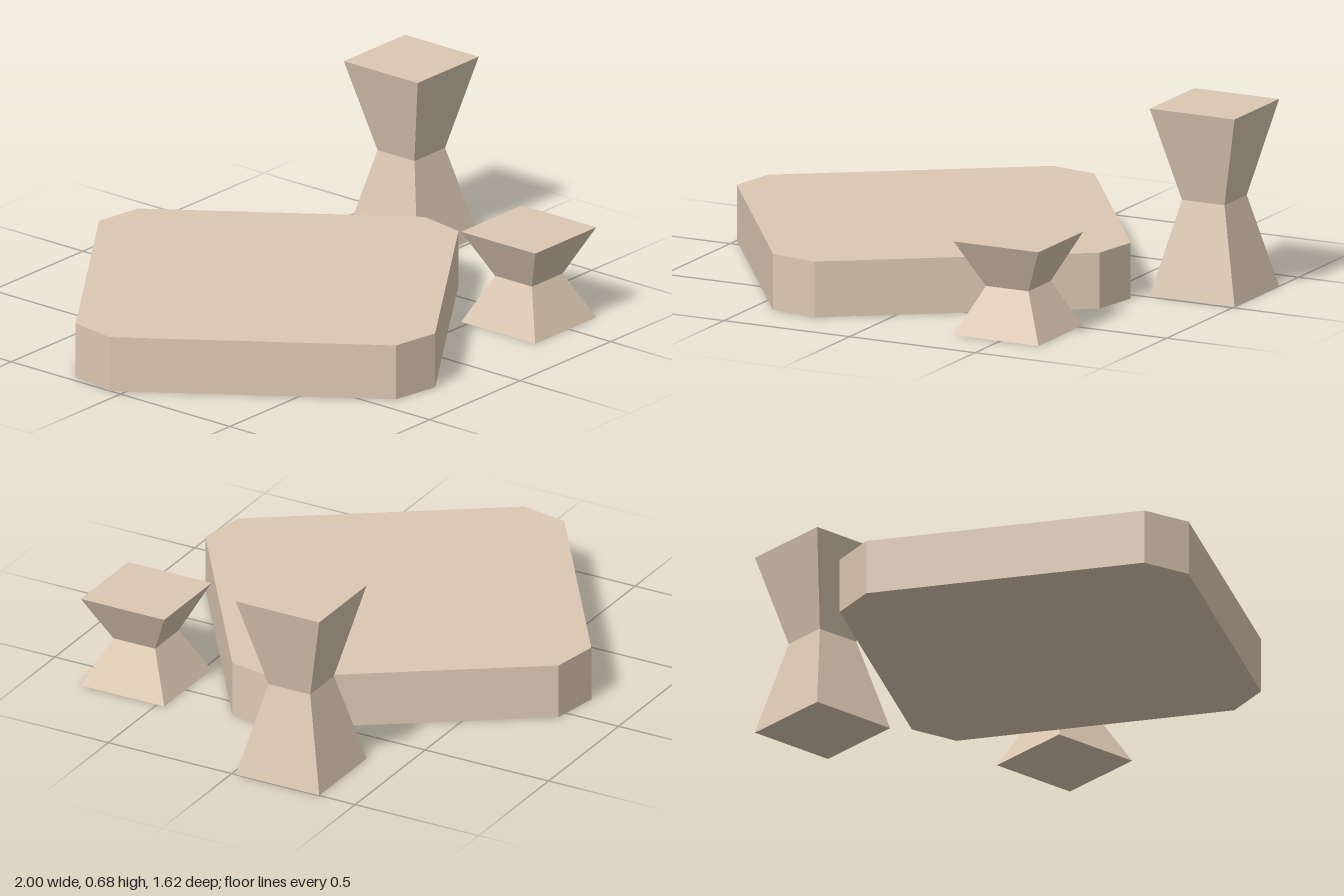
import * as THREE from 'three';

const material = new THREE.MeshStandardMaterial({ color: 0xdcc8b2, flatShading: true });

// Square stool pinched to half its width at mid height
function createStool(name, x, z, width, height) {
  const r = width / Math.SQRT2;
  const profile = [[0, 0], [r, 0], [r / 2, height / 2], [r, height], [0, height]]
    .map(([px, py]) => new THREE.Vector2(px, py));
  const mesh = new THREE.Mesh(new THREE.LatheGeometry(profile, 4, Math.PI / 4), material);
  mesh.name = name;
  mesh.position.set(x, 0, z);
  return mesh;
}

// Rectangular slab with clipped corners, turned on the floor
function createSlab() {
  const corners = [
    [-0.14, -0.81], [0.04, -0.78], [0.62, 0.05], [0.59, 0.23],
    [-0.24, 0.81], [-0.42, 0.78], [-1, -0.05], [-0.97, -0.23],
  ];
  const shape = new THREE.Shape(corners.map(([x, z]) => new THREE.Vector2(x, -z)));
  const geometry = new THREE.ExtrudeGeometry(shape, { depth: 0.203, bevelEnabled: false });
  geometry.rotateX(-Math.PI / 2);
  const mesh = new THREE.Mesh(geometry, material);
  mesh.name = 'tableSlab';
  return mesh;
}

export function createModel() {
  const group = new THREE.Group();
  group.name = 'tableAndStools';
  group.add(
    createSlab(),
    createStool('shortStool', 0.483, 0.64, 0.338, 0.34),
    createStool('tallStool', 0.83, -0.185, 0.338, 0.68),
  );
  return group;
}
